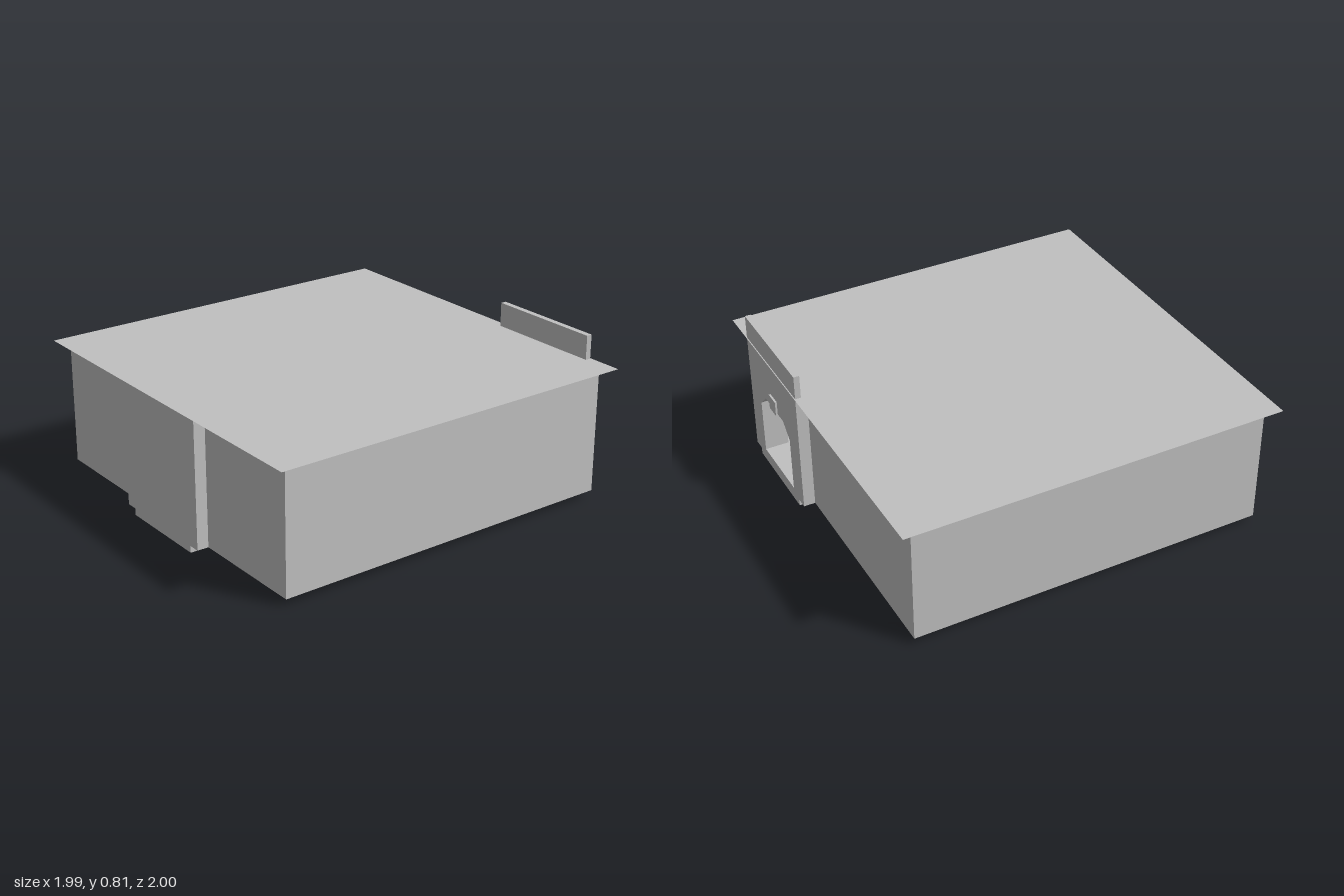
import * as THREE from 'three';

const BOTTOM = 0.035, TOP = 0.685, BACK = -0.985;

// Strip of flat quads joining two matching rows of points
function strip(rowA, rowB) {
  const pos = [];
  for (let i = 0; i + 1 < rowA.length; i++) {
    const a = rowA[i], b = rowA[i + 1], c = rowB[i + 1], d = rowB[i];
    pos.push(...a, ...b, ...c, ...a, ...c, ...d);
  }
  const g = new THREE.BufferGeometry();
  g.setAttribute('position', new THREE.Float32BufferAttribute(pos, 3));
  g.computeVertexNormals();
  return g;
}

const shapeOf = pts => new THREE.Shape(pts.map(([x, y]) => new THREE.Vector2(x, y)));

// Plan outline (x, z) of a square with one front and one back projection,
// starting and ending at the corners of the back projection
function outline(half, front, back, frontHalf, backHalf) {
  return [
    [0.5 - backHalf, BACK], [0.5 - backHalf, back], [-half, back], [-half, front],
    [-frontHalf, front], [-frontHalf, 1], [frontHalf, 1], [frontHalf, front],
    [half, front], [half, back], [0.5 + backHalf, back], [0.5 + backHalf, BACK],
  ];
}

export function createModel() {
  const group = new THREE.Group();
  const grey = new THREE.MeshStandardMaterial({ color: 0xc0c0c0, side: THREE.DoubleSide });
  grey.name = 'light grey';

  const add = (name, geometry, x = 0, y = 0, z = 0) => {
    const m = new THREE.Mesh(geometry, grey);
    m.name = name;
    m.position.set(x, y, z);
    group.add(m);
    return m;
  };

  // Hollow housing: side walls and floor
  const body = outline(0.932, 0.94, -0.925, 0.31, 0.31);
  add('housingWalls', strip(
    body.map(([x, z]) => [x, BOTTOM, z]),
    body.map(([x, z]) => [x, TOP, z])));
  add('housingFloor', new THREE.ShapeGeometry(shapeOf(body)).rotateX(Math.PI / 2), 0, BOTTOM, 0);

  // Thin overhanging lid
  add('lid', new THREE.PlaneGeometry(1.99, 1.99).rotateX(-Math.PI / 2), 0, TOP, 0.005);

  // Raised base with matching front and back tabs
  const base = outline(0.872, 0.875, -0.86, 0.25, 0.25);
  add('base', new THREE.ExtrudeGeometry(shapeOf(base), { depth: BOTTOM, bevelEnabled: false })
    .rotateX(Math.PI / 2), 0, BOTTOM, 0);

  // Back panel with a chamfered socket opening
  const opening = [
    [0.315, 0.067], [0.685, 0.067], [0.685, 0.362], [0.612, 0.432], [0.388, 0.432], [0.315, 0.362],
  ];
  const panel = shapeOf([[0.19, BOTTOM], [0.81, BOTTOM], [0.81, TOP], [0.19, TOP]]);
  panel.holes.push(new THREE.Path(opening.map(([x, y]) => new THREE.Vector2(x, y))));
  add('backPanel', new THREE.ShapeGeometry(panel), 0, 0, BACK);

  // Collar lining the opening
  const loop = [...opening, opening[0]];
  add('socketCollar', strip(
    loop.map(([x, y]) => [x, y, BACK]),
    loop.map(([x, y]) => [x, y, BACK + 0.125])));

  // Upright flange above the lid and the latch over the opening
  add('upperFlange', new THREE.BoxGeometry(0.62, 0.125, 0.03), 0.5, 0.7475, -0.97);
  add('latch', new THREE.BoxGeometry(0.08, 0.08, 0.01), 0.495, 0.465, -0.99);

  // Small studs on the floor behind the opening
  for (let i = -1; i <= 1; i++) {
    add('floorStud', new THREE.CylinderGeometry(0.018, 0.018, 0.04, 8), 0.78 - i * 0.05, 0.055, -0.64 - i * 0.02);
  }
  return group;
}
